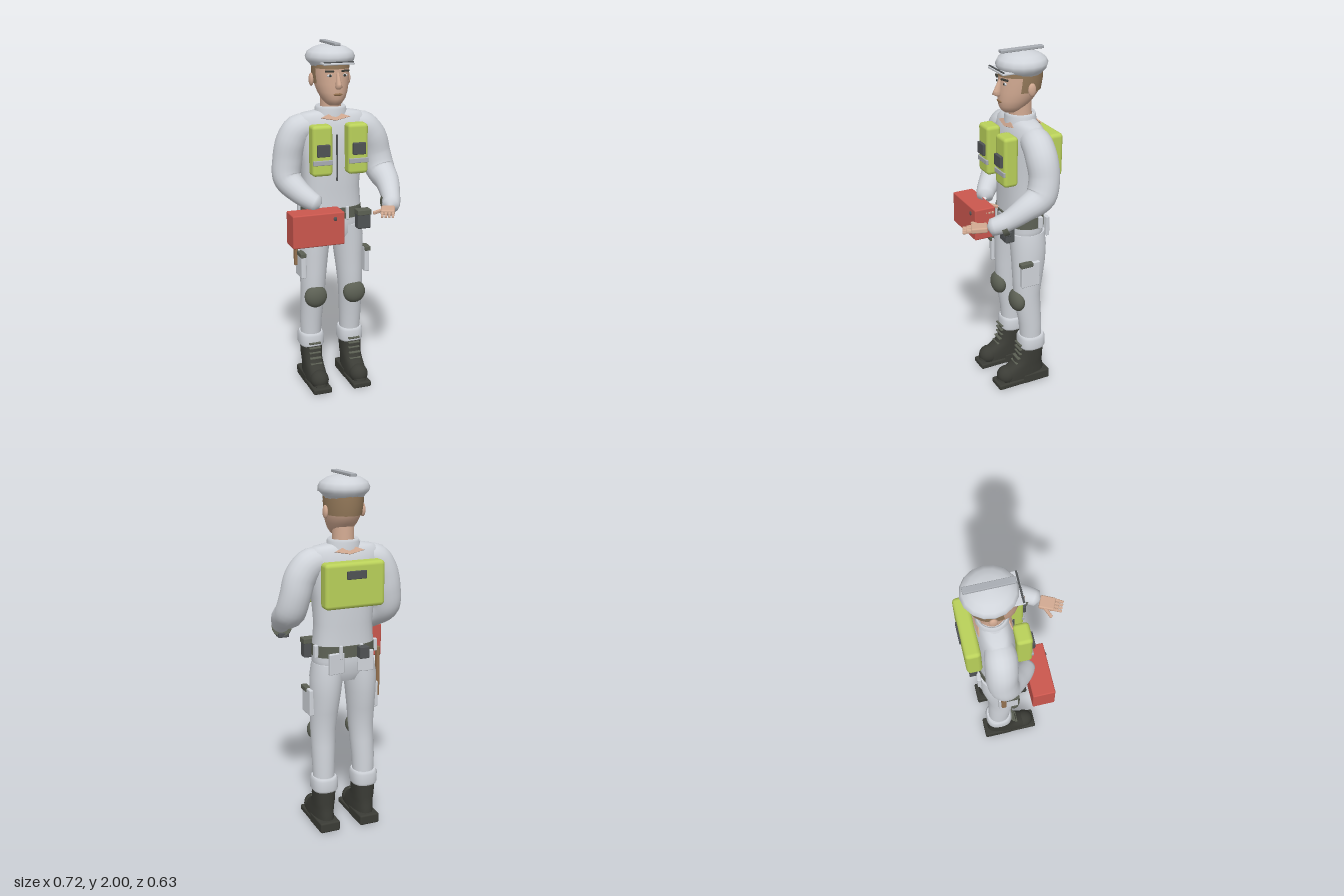
import * as THREE from 'three';
import { mergeVertices } from 'three/addons/utils/BufferGeometryUtils.js';
import { RoundedBoxGeometry } from 'three/addons/geometries/RoundedBoxGeometry.js';

const MID = -0.13; // depth of the body axis

// Skin over stacked superellipse rings: [y, centreX, centreZ, radiusX, radiusZ]
function loft(rings, { n = 28, p = 2, a0 = 0, a1 = Math.PI * 2, caps = true } = {}) {
  const pos = [], idx = [], full = a1 - a0 > 6.28, w = full ? n : n + 1;
  const pow = v => Math.sign(v) * Math.abs(v) ** (2 / p);
  const ring = ([y, cx, cz, rx, rz]) => {
    for (let j = 0; j < w; j++) {
      const a = a0 + (a1 - a0) * j / n;
      pos.push(cx + rx * pow(Math.cos(a)), y, cz + rz * pow(Math.sin(a)));
    }
  };
  rings.forEach(ring);
  for (let i = 0; i < rings.length - 1; i++) for (let j = 0; j < n; j++) {
    const a = i * w + j, b = i * w + (j + 1) % w;
    idx.push(a, a + w, b, b, a + w, b + w);
  }
  if (caps && full) for (const top of [false, true]) {
    const r = top ? rings[rings.length - 1] : rings[0], base = pos.length / 3;
    ring(r);
    pos.push(r[1], r[0], r[2]);
    for (let j = 0; j < n; j++) {
      const a = base + j, b = base + (j + 1) % n;
      idx.push(base + n, top ? b : a, top ? a : b);
    }
  }
  const g = new THREE.BufferGeometry();
  g.setAttribute('position', new THREE.Float32BufferAttribute(pos, 3));
  g.setIndex(idx);
  g.computeVertexNormals();
  return g;
}

// Tube with changing radius through [x, y, z, radius] stations
function limb(stations) {
  const curve = new THREE.CatmullRomCurve3(stations.map(s => new THREE.Vector3(s[0], s[1], s[2])));
  const N = 36, R = 20, g = new THREE.TubeGeometry(curve, N, 1, R), pos = g.attributes.position;
  const v = new THREE.Vector3();
  for (let i = 0; i <= N; i++) {
    const c = curve.getPointAt(i / N), t = curve.getUtoTmapping(i / N) * (stations.length - 1);
    const k = Math.min(Math.floor(t), stations.length - 2);
    const r = THREE.MathUtils.lerp(stations[k][3], stations[k + 1][3], t - k);
    for (let j = 0; j <= R; j++) {
      const q = i * (R + 1) + j;
      v.fromBufferAttribute(pos, q).sub(c).multiplyScalar(r).add(c);
      pos.setXYZ(q, v.x, v.y, v.z);
    }
  }
  g.deleteAttribute('uv');
  g.deleteAttribute('normal');
  const m = mergeVertices(g, 1e-5);
  m.computeVertexNormals();
  return m;
}

export function createModel() {
  const mat = (name, color) => Object.assign(new THREE.MeshStandardMaterial({ color }), { name });
  const suit = mat('suit white', 0xd0d4da), lime = mat('lime', 0xbad15a), red = mat('case red', 0xcb574e);
  const skin = mat('skin', 0xd2aa92), hair = mat('hair brown', 0x94795a), olive = mat('dark olive', 0x5c6054);
  const boot = mat('boot black', 0x3b3c36), grey = mat('dark grey', 0x505355), wood = mat('wood', 0x94714f);
  const silver = mat('light grey', 0xa9adb3);

  const model = new THREE.Group();
  const body = new THREE.Group();
  body.name = 'figure';
  body.position.x = -0.022;
  model.add(body);

  const add = (name, geo, m, x = 0, y = 0, z = 0, parent = body) => {
    const o = new THREE.Mesh(geo, m);
    o.name = name;
    o.position.set(x, y, z);
    parent.add(o);
    return o;
  };
  const box = (name, m, x, y, z, w, h, d, r = 0.004, parent = body) =>
    add(name, new RoundedBoxGeometry(w, h, d, 2, r), m, x, y, z, parent);
  const blob = (name, m, x, y, z, rx, ry, rz, parent = body) => {
    const o = add(name, new THREE.SphereGeometry(1, 20, 14), m, x, y, z, parent);
    o.scale.set(rx, ry, rz);
    return o;
  };

  // Torso, neck and collar
  add('torso', loft([[0.88, 0, MID, 0.1, 0.08], [0.93, 0, MID, 0.165, 0.103], [1.0, 0, MID, 0.177, 0.108],
    [1.1, 0, MID, 0.172, 0.105], [1.2, 0, MID, 0.164, 0.108], [1.35, 0, MID, 0.178, 0.112], [1.47, 0, MID, 0.2, 0.107],
    [1.55, 0, MID, 0.215, 0.094], [1.595, 0, MID, 0.205, 0.078], [1.615, 0, MID, 0.17, 0.064], [1.628, 0, MID, 0.1, 0.05]],
  { p: 2.4 }), suit);
  add('neck', loft([[1.58, 0, MID, 0.064, 0.066], [1.64, 0, MID, 0.058, 0.064], [1.74, 0, -0.125, 0.058, 0.064]]), skin);
  add('collar', loft([[1.595, 0, MID, 0.095, 0.088], [1.64, 0, MID, 0.088, 0.085], [1.655, 0, MID, 0.08, 0.08],
    [1.64, 0, MID, 0.068, 0.07]], { caps: false }), suit);
  const vee = new THREE.Shape([[-0.085, 0], [0, -0.018], [0.085, 0], [0, 0.035]].map(p => new THREE.Vector2(...p)));
  for (const s of [1, -1]) {
    const o = add('neckline', new THREE.ExtrudeGeometry(vee, { depth: 0.006, bevelEnabled: false }), skin, 0, 1.595, MID + s * 0.083);
    o.rotation.set(-0.5, s > 0 ? 0 : Math.PI, 0, 'YXZ');
  }
  box('zip', grey, 0, 1.375, -0.02, 0.01, 0.26, 0.01, 0.002);

  // Head
  const headRings = [[1.662, 0, -0.075, 0.03, 0.04], [1.675, 0, -0.08, 0.047, 0.062], [1.7, 0, -0.088, 0.066, 0.084],
    [1.735, 0, -0.102, 0.082, 0.102], [1.78, 0, -0.12, 0.094, 0.119], [1.84, 0, -0.127, 0.1, 0.122], [1.9, 0, -0.127, 0.1, 0.12]];
  add('head', loft(headRings), skin);
  add('hair', loft(headRings.slice(4).map(([y, x, z, a, b]) => [y, x, z, a + 0.004, b + 0.004]),
    { a0: Math.PI - 0.3, a1: Math.PI * 2 + 0.3 }), hair);
  add('fringe', loft([[1.862, 0, -0.127, 0.103, 0.124], [1.9, 0, -0.127, 0.103, 0.124]]), hair);
  add('nose', loft([[1.757, 0, 0, 0.012, 0.016], [1.768, 0, 0.01, 0.019, 0.027], [1.785, 0, 0.006, 0.015, 0.024],
    [1.845, 0, -0.012, 0.009, 0.012]], { n: 12 }), skin);
  blob('mouth', wood, 0, 1.727, -0.003, 0.026, 0.008, 0.006);
  for (const s of [1, -1]) {
    blob('ear', skin, s * 0.107, 1.797, -0.142, 0.013, 0.036, 0.023);
    blob('eye', suit, s * 0.041, 1.828, -0.016, 0.017, 0.008, 0.006);
    blob('pupil', boot, s * 0.041, 1.828, -0.011, 0.007, 0.007, 0.004);
    box('eyebrow', boot, s * 0.045, 1.852, -0.012, 0.05, 0.01, 0.014).rotation.y = s * 0.3;
  }

  // Cap with peak and top ridge
  add('cap', loft([[1.862, 0.1], [1.88, 0.112], [1.898, 0.13], [1.922, 0.137], [1.948, 0.125], [1.968, 0.095], [1.98, 0.058],
    [1.986, 0.015]].map(([y, r]) => [y, 0, -0.136, r, r * 1.04]), { n: 16 }), suit);
  box('cap peak', suit, 0, 1.892, -0.035, 0.176, 0.012, 0.11);
  box('peak trim', grey, 0, 1.901, 0.012, 0.17, 0.006, 0.01, 0.002);
  box('cap ridge', silver, 0, 1.992, -0.134, 0.035, 0.016, 0.255);

  // Arms
  add('leftArm', limb([[0.1, 1.535, MID, 0.07], [0.185, 1.528, MID, 0.084], [0.245, 1.46, MID, 0.087], [0.275, 1.36, MID, 0.084],
    [0.292, 1.27, -0.1, 0.084], [0.297, 1.22, -0.01, 0.068], [0.28, 1.165, 0.08, 0.054], [0.26, 1.138, 0.14, 0.05],
    [0.238, 1.125, 0.18, 0.045], [0.236, 1.124, 0.185, 0.012]]), suit);
  add('rightArm', limb([[-0.1, 1.535, MID, 0.07], [-0.185, 1.528, MID, 0.084], [-0.228, 1.46, -0.135, 0.087],
    [-0.25, 1.36, -0.14, 0.084], [-0.258, 1.26, -0.125, 0.08], [-0.215, 1.195, -0.06, 0.066], [-0.16, 1.15, 0, 0.054],
    [-0.125, 1.13, 0.025, 0.046], [-0.115, 1.125, 0.033, 0.012]]), suit);
  const band = add('wristBand', new THREE.CylinderGeometry(0.056, 0.056, 0.03, 20), olive, 0.268, 1.133, 0.105);
  band.quaternion.setFromUnitVectors(new THREE.Vector3(0, 1, 0), new THREE.Vector3(-0.33, -0.35, 0.87).normalize());
  box('wristUnit', grey, 0.268, 1.09, 0.095, 0.06, 0.025, 0.05);

  // Hands: fingers along local z, thumb on the inner side
  const hand = (name, s, x, y, z, turn) => {
    const h = new THREE.Group();
    h.name = name;
    h.position.set(x, y, z);
    h.rotation.set(0.06, turn, 0, 'YXZ');
    body.add(h);
    box('palm', skin, 0, 0, 0, 0.076, 0.03, 0.088, 0.008, h);
    for (let i = 0; i < 4; i++) {
      const fx = -0.029 + i * 0.0193;
      box('finger', skin, fx, -0.002, 0.053, 0.015, 0.017, 0.03, 0.004, h);
      box('fingertip', skin, fx, -0.006, 0.077, 0.013, 0.014, 0.026, 0.004, h);
    }
    box('thumb', skin, -s * 0.053, -0.002, 0.015, 0.017, 0.018, 0.07, 0.005, h).rotation.y = -s * 0.75;
  };
  hand('leftHand', 1, 0.207, 1.118, 0.22, -0.42);
  hand('rightHand', -1, -0.1, 1.092, 0.05, 1.45);

  // Carried case
  box('case', red, -0.16, 1.018, 0.078, 0.295, 0.185, 0.125, 0.007);
  blob('case catch', grey, -0.068, 1.075, 0.142, 0.01, 0.012, 0.006);

  // Legs, knee pads and boots
  for (const s of [1, -1]) {
    const c = s * 0.122;
    add('leg', loft([[0.25, c, -0.15, 0.058, 0.062], [0.4, c, -0.143, 0.064, 0.068], [0.5, s * 0.118, -0.13, 0.067, 0.075],
      [0.6, s * 0.115, -0.122, 0.071, 0.08], [0.7, s * 0.111, -0.128, 0.077, 0.09], [0.8, s * 0.106, -0.134, 0.084, 0.1],
      [0.9, s * 0.1, -0.134, 0.091, 0.105], [0.98, s * 0.09, MID, 0.087, 0.104]]), suit);
    add('trouserCuff', loft([[0.232, c, -0.15, 0.068, 0.074], [0.245, c, -0.15, 0.075, 0.08], [0.3, c, -0.15, 0.075, 0.08],
      [0.314, c, -0.15, 0.066, 0.072]], { p: 2.5 }), suit);
    blob('kneePad', olive, s * 0.118, 0.56, -0.058, 0.067, 0.067, 0.043);
    add('boot', loft([[0.04, c, -0.078, 0.056, 0.15], [0.07, c, -0.082, 0.057, 0.147], [0.1, c, -0.098, 0.056, 0.126],
      [0.13, c, -0.12, 0.056, 0.1], [0.16, c, -0.14, 0.058, 0.08], [0.25, c, -0.148, 0.063, 0.074]], { p: 2.5 }), boot);
    blob('toeCap', boot, c, 0.065, 0.01, 0.054, 0.056, 0.06);
    box('sole', boot, c, 0.017, -0.084, 0.112, 0.034, 0.328, 0.01);
    box('heel', boot, c, 0.03, -0.165, 0.118, 0.06, 0.172, 0.01);
    for (let i = 0; i < 5; i++)
      box('lace', olive, c, 0.14 + i * 0.03, -0.045 - Math.min(i, 2) * 0.012, 0.07, 0.01, 0.02);
    // Thigh pockets, back pockets and belt loops
    box('thighPocket', suit, s * 0.192, 0.755, -0.1, 0.03, 0.15, 0.115, 0.006);
    box('pocketFlap', olive, s * 0.195, 0.82, -0.073, 0.034, 0.026, 0.075);
    box('backPocket', suit, s * 0.085, 0.995, -0.24, 0.09, 0.115, 0.022).rotation.y = s * 0.15;
    box('sideLoop', suit, s * 0.175, 1.055, -0.168, 0.022, 0.07, 0.026);
    for (const z of [-0.018, -0.243]) box('beltLoop', suit, s * 0.06, 1.055, z, 0.018, 0.075, 0.018);
    // Chest pouches
    box('chestPouch', lime, s * 0.103, 1.43, 0.003, 0.116, 0.28, 0.085, 0.02);
    box('pouchPatch', grey, s * 0.103, 1.435, 0.05, 0.072, 0.066, 0.024);
    box('pouchStrap', silver, s * 0.103, 1.367, 0.044, 0.112, 0.028, 0.014);
  }

  // Belt and gear
  add('belt', loft([[1.022, 0, MID, 0.179, 0.115], [1.085, 0, MID, 0.175, 0.113]], { p: 2.3 }), olive);
  box('buckle', silver, 0, 1.053, -0.013, 0.05, 0.05, 0.012);
  box('frontPouch', grey, 0.14, 1.02, 0.018, 0.078, 0.1, 0.055, 0.008);
  box('frontPouchFlap', olive, 0.14, 1.065, 0.02, 0.082, 0.03, 0.06);
  box('rearPouch', grey, -0.06, 1.053, -0.268, 0.055, 0.065, 0.045);
  box('baton', wood, -0.213, 0.885, -0.13, 0.02, 0.29, 0.028, 0.006);

  // Backpack
  box('backpack', lime, 0.002, 1.43, -0.264, 0.34, 0.245, 0.084, 0.022);
  box('backpackHandle', grey, 0, 1.488, -0.31, 0.11, 0.045, 0.01);

  return model;
}
